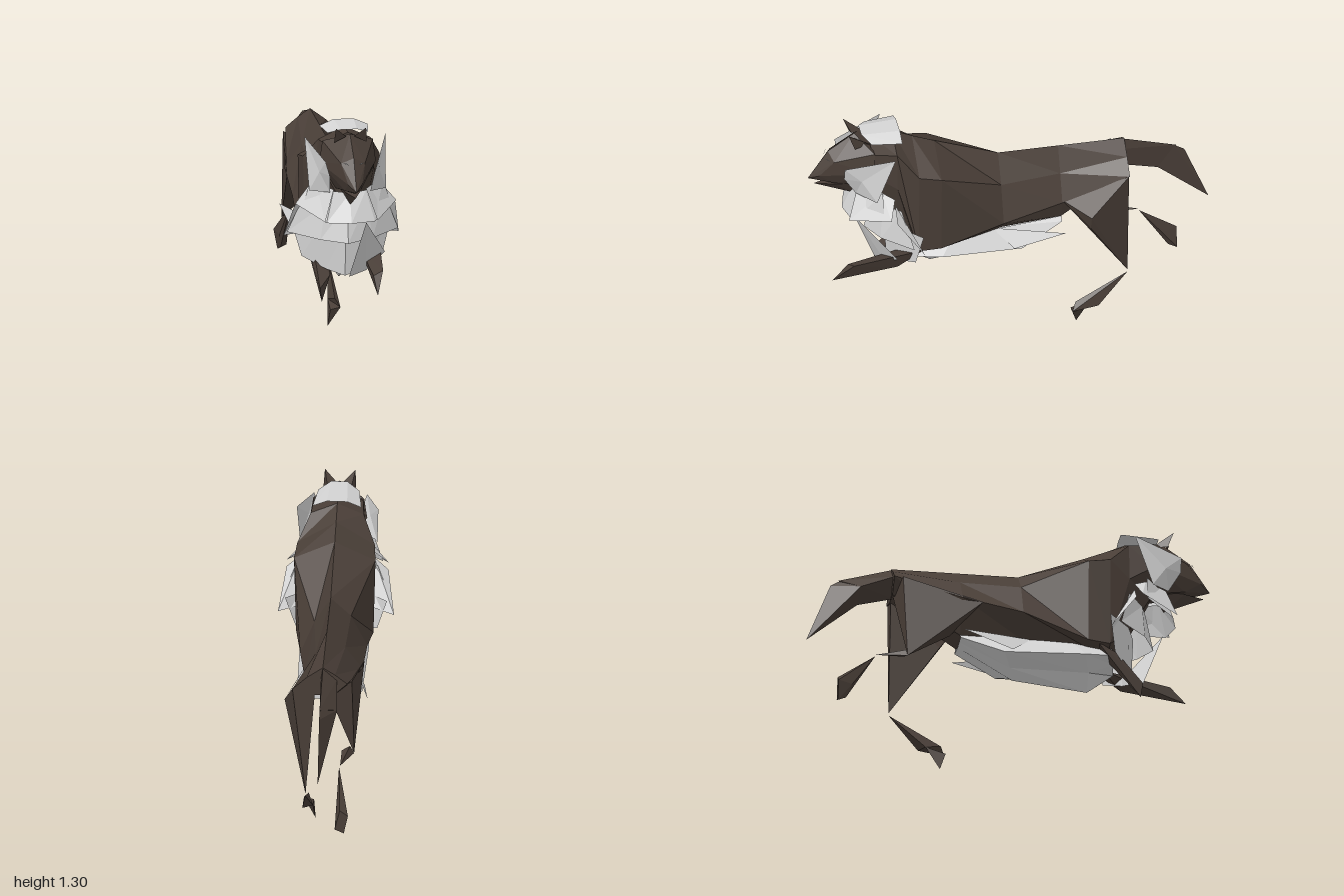
import * as THREE from 'three';
import { ConvexGeometry } from 'three/addons/geometries/ConvexGeometry.js';

export function createModel() {
  const model = new THREE.Group();
  model.name = 'leapingWolf';
  const brown = new THREE.MeshStandardMaterial({ name: 'brownFur', color: 0x493e37 });
  const grey = new THREE.MeshStandardMaterial({ name: 'paleFur', color: 0xd4d4d4, side: THREE.DoubleSide });

  const add = (name, geometry, material) => {
    const mesh = new THREE.Mesh(geometry, material);
    mesh.name = name;
    model.add(mesh);
  };
  const mirror = (pts) => pts.map(([x, y, z]) => [-x, y, z]);
  const withMirror = (pts) => [...pts, ...mirror(pts)];

  // Solid faceted part
  const hull = (name, pts) =>
    add(name, new ConvexGeometry(pts.map((p) => new THREE.Vector3(...p))), brown);

  // Flat-shaded surface from a list of corner points, three per face
  const faces = (corners) => {
    const g = new THREE.BufferGeometry();
    g.setAttribute('position', new THREE.Float32BufferAttribute(corners.flat(), 3));
    g.computeVertexNormals();
    return g;
  };

  // Strips between rows of points
  const strips = (rows, closed) => {
    const out = [];
    for (let i = 0; i < rows.length - 1; i++) {
      const n = rows[i].length;
      for (let j = 0; j < (closed ? n : n - 1); j++) {
        const k = (j + 1) % n;
        const a = rows[i][j], b = rows[i][k], c = rows[i + 1][k], d = rows[i + 1][j];
        out.push(a, b, c, a, c, d);
      }
    }
    return out;
  };
  const fan = (pts) => {
    const out = [];
    for (let i = 1; i < pts.length - 1; i++) out.push(pts[0], pts[i], pts[i + 1]);
    return out;
  };
  const tuft = (name, pts) => add(name, faces(fan(pts)), grey);
  // Half a row from the left edge to the middle, completed on the right
  const fullRow = (half) => [...half, ...mirror(half.slice(0, -1)).reverse()];
  const furSheet = (name, ...halves) => add(name, faces(strips(halves.map(fullRow))), grey);

  // Body: z, spine y, left upper, left flank, right upper, right flank, belly (each [x, y])
  const rings = [
    [-0.58, 1.04, [0.08, 0.98], [0.15, 0.91], [0.06, 1.0], [0.12, 0.95], [0.05, 0.88]],
    [-0.25, 1.04, [0.055, 0.91], [0.11, 0.77], [0.09, 0.95], [0.175, 0.83], [0.08, 0.67]],
    [0.05, 1.04, [0.08, 0.9], [0.15, 0.715], [0.1, 0.94], [0.18, 0.77], [0.1, 0.66]],
    [0.37, 1.16, [0.2, 1.06], [0.19, 0.64], [0.2, 1.06], [0.19, 0.64], [0.12, 0.63]],
    [0.48, 1.205, [0.19, 1.08], [0.18, 0.63], [0.19, 1.08], [0.18, 0.63], [0.08, 0.61]],
    [0.58, 1.25, [0.13, 1.19], [0.15, 1.0], [0.13, 1.19], [0.15, 1.0], [0.09, 0.74]],
    [0.7, 1.25, [0.12, 1.2], [0.13, 1.08], [0.12, 1.2], [0.13, 1.08], [0.06, 0.95]],
  ].map(([z, top, lu, lf, ru, rf, belly]) => [
    [0, top, z], [-ru[0], ru[1], z], [-rf[0], rf[1], z], [-belly[0], belly[1], z],
    [belly[0], belly[1], z], [lf[0], lf[1], z], [lu[0], lu[1], z],
  ]);
  add('body', faces([
    ...strips(rings, true),
    ...fan([...rings[0]].reverse()),
    ...fan(rings[rings.length - 1]),
  ]), brown);

  // Head
  hull('head', [
    [0, 1.26, 0.77], [0, 1.17, 0.9], [0, 1.02, 1.0], [0, 1.0, 0.94],
    ...withMirror([
      [0.125, 1.21, 0.69], [0.14, 1.1, 0.69], [0.06, 0.97, 0.7],
      [0.06, 1.14, 0.88], [0.035, 1.05, 0.95], [0.04, 1.0, 0.87],
    ]),
  ]);
  hull('lowerJaw', [
    [0, 0.985, 0.97], [0, 0.94, 0.86], [0, 0.9, 0.77],
    ...withMirror([[0.035, 0.99, 0.87], [0.05, 0.99, 0.74]]),
  ]);

  // Ears, eyes and side fur
  for (const [side, flip] of [['left', (p) => p], ['right', mirror]]) {
    hull(side + 'Ear', flip([
      [0.075, 1.3, 0.81], [0.02, 1.25, 0.78], [0.08, 1.22, 0.78], [0.05, 1.22, 0.7],
    ]));
    tuft(side + 'Eye', flip([[0.025, 1.138, 0.916], [0.055, 1.146, 0.898], [0.035, 1.147, 0.91]]));
    tuft(side + 'CheekFur', flip([
      [0.15, 1.07, 0.76], [0.2, 1.21, 0.6], [0.13, 1.14, 0.84], [0.11, 1.07, 0.84],
      [0.1, 0.97, 0.78], [0.19, 0.96, 0.69], [0.2, 1.21, 0.6],
    ]));
    tuft(side + 'NeckFur', flip([
      [0.15, 0.99, 0.66], [0.08, 0.98, 0.77], [0.13, 0.83, 0.82], [0.25, 0.88, 0.63], [0.18, 0.96, 0.6],
    ]));
    tuft(side + 'ShoulderFur', flip([[0.18, 0.93, 0.6], [0.25, 0.86, 0.6], [0.285, 0.68, 0.47], [0.18, 0.7, 0.5]]));
    tuft(side + 'BellySpike', flip([[0.1, 0.66, 0.1], [0.17, 0.57, 0.0], [0.2, 0.65, -0.25]]));
  }

  // Crest between the ears
  add('crestFur', faces(strips([
    [[0.12, 1.25, 0.55], [0.05, 1.28, 0.55], [-0.05, 1.28, 0.55], [-0.12, 1.25, 0.55]],
    [[0.1, 1.25, 0.7], [0.04, 1.275, 0.74], [-0.04, 1.275, 0.74], [-0.1, 1.25, 0.7]],
  ])), grey);

  // Chest ruff in three overlapping layers
  furSheet('upperRuff',
    [[0.18, 1.0, 0.66], [0.08, 0.97, 0.76], [0, 0.96, 0.77]],
    [[0.22, 0.87, 0.66], [0.12, 0.82, 0.8], [0, 0.82, 0.83]]);
  furSheet('middleRuff',
    [[0.2, 0.9, 0.57], [0.1, 0.88, 0.65], [0, 0.88, 0.68]],
    [[0.275, 0.71, 0.52], [0.13, 0.7, 0.66], [0, 0.69, 0.72]]);
  furSheet('lowerRuff',
    [[0.25, 0.76, 0.47], [0.12, 0.75, 0.58], [0, 0.74, 0.62]],
    [[0.2, 0.58, 0.5], [0.09, 0.53, 0.58], [0, 0.5, 0.61]]);
  tuft('chestTuft', [[0.08, 0.81, 0.78], [0.01, 0.51, 0.67], [0.1, 0.53, 0.63], [0.2, 0.61, 0.59]]);

  // Belly fur: flared skirt over a narrow keel
  furSheet('bellyFur',
    [[0.1, 0.64, 0.5], [0.15, 0.58, 0.5], [0.08, 0.56, 0.51], [0, 0.54, 0.52]],
    [[0.12, 0.65, 0.3], [0.17, 0.57, 0.36], [0.06, 0.52, 0.39], [0, 0.44, 0.39]],
    [[0.1, 0.66, 0.0], [0.16, 0.56, -0.04], [0.06, 0.52, 0.0], [0, 0.48, 0.02]],
    [[0.08, 0.67, -0.25], [0.1, 0.65, -0.25], [0.05, 0.645, -0.25], [0, 0.64, -0.25]]);

  // Front legs
  hull('leftFrontLeg', [
    [0.19, 0.64, 0.46], [0.09, 0.61, 0.48], [0.15, 0.53, 0.58],
    [0.16, 0.57, 0.8], [0.11, 0.55, 0.82], [0.12, 0.47, 0.9],
  ]);
  hull('rightFrontLeg', [
    [-0.17, 0.64, 0.42], [-0.08, 0.62, 0.44], [-0.14, 0.6, 0.52],
    [-0.07, 0.5, 0.58], [-0.13, 0.45, 0.65], [-0.12, 0.38, 0.64],
  ]);

  // Hind legs
  hull('leftThigh', [
    [0.1, 0.78, -0.25], [0.2, 0.72, -0.38], [0.15, 0.91, -0.575], [0.04, 0.88, -0.575],
    [0.06, 0.66, -0.33], [0.17, 0.64, -0.38], [0.085, 0.3, -0.58],
  ]);
  hull('leftHindShank', [
    [0.087, 0.29, -0.58], [0.11, 0.12, -0.43], [0.06, 0.12, -0.4], [0.085, 0.14, -0.32], [0.11, 0.1, -0.3],
  ]);
  hull('leftHindPaw', [
    [0.06, 0.12, -0.4], [0.11, 0.1, -0.3], [0.06, 0.09, -0.3], [0.05, 0, -0.33],
  ]);
  hull('rightThigh', [
    [-0.178, 0.81, -0.15], [-0.14, 0.94, -0.54], [-0.03, 0.88, -0.575],
    [-0.06, 0.67, -0.3], [-0.15, 0.51, -0.52],
  ]);
  hull('rightHock', [
    [-0.15, 0.51, -0.52], [-0.13, 0.55, -0.52], [-0.09, 0.53, -0.53], [-0.09, 0.53, -0.67],
  ]);
  hull('rightHindShank', [
    [-0.085, 0.525, -0.67], [-0.12, 0.35, -0.79], [-0.08, 0.38, -0.8], [-0.1, 0.39, -0.86],
    [-0.14, 0.36, -0.86], [-0.075, 0.28, -0.86], [-0.12, 0.26, -0.86], [-0.11, 0.28, -0.82],
  ]);

  // Tail
  hull('tailBase', [
    [0, 1.04, -0.56], [0.01, 0.98, -0.57], [-0.07, 0.97, -0.57], [0, 0.88, -0.57],
    [0, 0.96, -0.84], [-0.08, 0.9, -0.74], [-0.01, 0.83, -0.75],
  ]);
  hull('tailTip', [
    [0, 0.96, -0.83], [0, 0.93, -0.88], [-0.08, 0.9, -0.74], [-0.01, 0.83, -0.75], [0, 0.63, -1.0],
  ]);

  return model;
}
